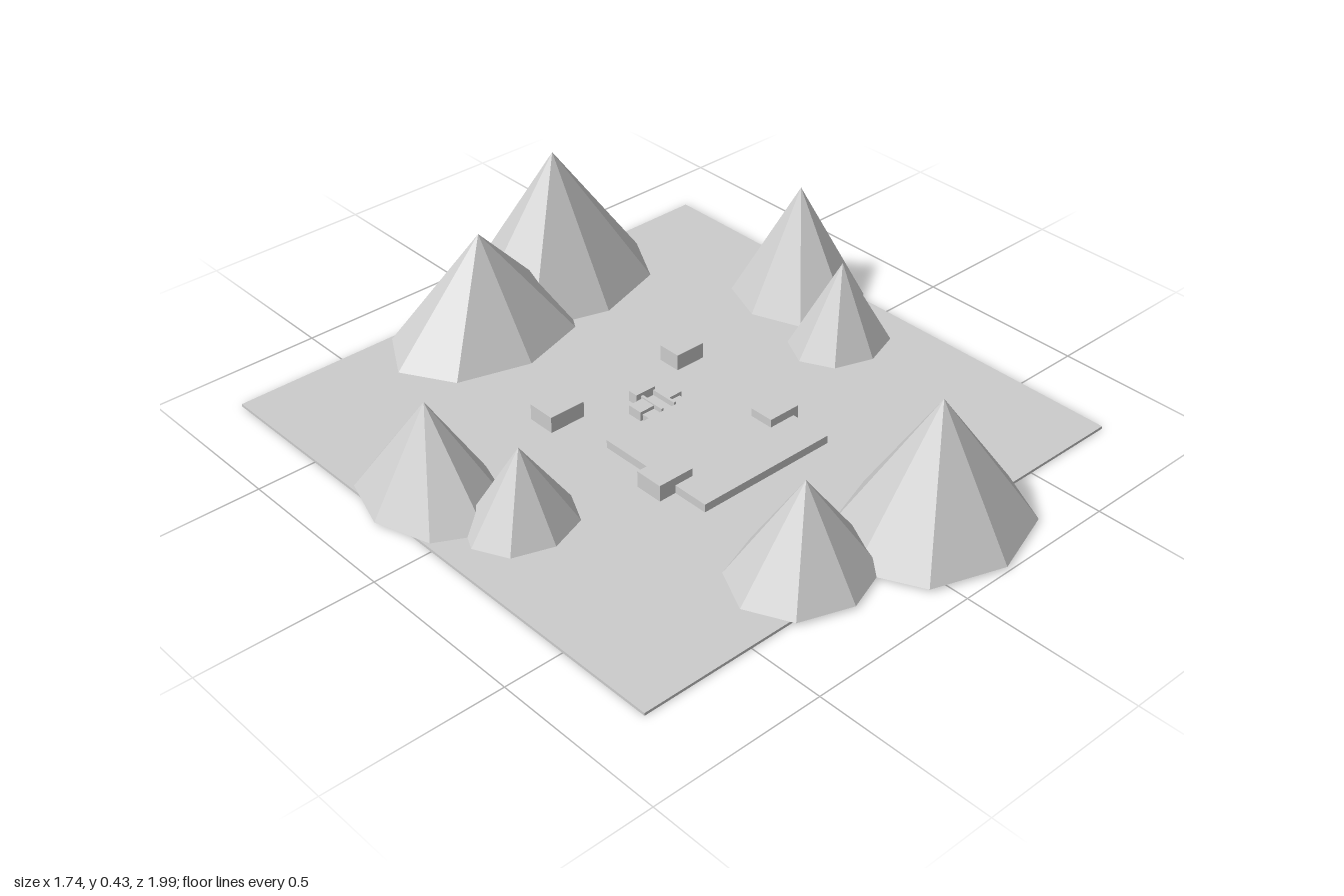
import * as THREE from 'three';

const material = new THREE.MeshStandardMaterial({ color: 0xcccccc, flatShading: true });

export function createModel() {
  const model = new THREE.Group();

  // Box given by its x, y and z ranges
  function block(name, x0, x1, y0, y1, z0, z1) {
    const mesh = new THREE.Mesh(new THREE.BoxGeometry(x1 - x0, y1 - y0, z1 - z0), material);
    mesh.position.set((x0 + x1) / 2, (y0 + y1) / 2, (z0 + z1) / 2);
    mesh.name = name;
    model.add(mesh);
  }

  // Eight-sided hill with an oval base
  const base = 0.008;
  function hill(name, x, z, rx, rz, top) {
    const geometry = new THREE.ConeGeometry(1, 1, 8);
    geometry.scale(rx, top - base, rz);
    const mesh = new THREE.Mesh(geometry, material);
    mesh.position.set(x, (top + base) / 2, z);
    mesh.name = name;
    model.add(mesh);
  }

  // Ground plate
  block('ground', -0.83, 0.79, 0, 0.008, -0.843, 0.782);

  // Ring of hills: x, z, half width, half depth, peak height
  hill('backLeftHill', 0.205, -0.767, 0.313, 0.233, 0.43);
  hill('backRightHill', -0.132, -0.683, 0.298, 0.212, 0.33);
  hill('rightRearHill', -0.695, -0.18, 0.175, 0.226, 0.29);
  hill('rightFrontHill', -0.598, 0.065, 0.159, 0.133, 0.235);
  hill('leftRearHill', 0.68, -0.243, 0.185, 0.2, 0.352);
  hill('leftFrontHill', 0.58, 0.021, 0.159, 0.13, 0.26);
  hill('frontRightHill', -0.222, 0.67, 0.208, 0.177, 0.28);
  hill('frontLeftHill', 0.153, 0.757, 0.286, 0.236, 0.38);

  // Courtyard platform with a pavilion near each corner
  block('courtyard', -0.238, 0.2, 0.004, 0.032, -0.03, 0.344);
  block('pavilion', -0.302, -0.19, 0.004, 0.056, -0.263, -0.178);
  block('pavilion', 0.143, 0.238, 0.004, 0.056, -0.243, -0.173);
  block('pavilion', -0.291, -0.18, 0.004, 0.056, 0.15, 0.235);
  block('pavilion', 0.116, 0.217, 0.004, 0.056, 0.145, 0.218);

  // Small hall at the back: rear block, central stair and paired wings
  const cx = -0.02;
  block('hallRear', cx - 0.033, cx + 0.033, 0.004, 0.04, -0.153, -0.122);
  block('hallStair', cx - 0.018, cx + 0.018, 0.004, 0.024, -0.112, -0.03);
  for (const s of [-1, 1]) {
    const wing = (a, b) => [Math.min(cx + s * a, cx + s * b), Math.max(cx + s * a, cx + s * b)];
    block('hallWing', ...wing(0.026, 0.074), 0.004, 0.036, -0.106, -0.06);
    block('hallWingStep', ...wing(0.026, 0.066), 0.004, 0.026, -0.06, -0.03);
    block('stairRail', ...wing(0.018, 0.026), 0.004, 0.04, -0.112, -0.03);
  }

  return model;
}
